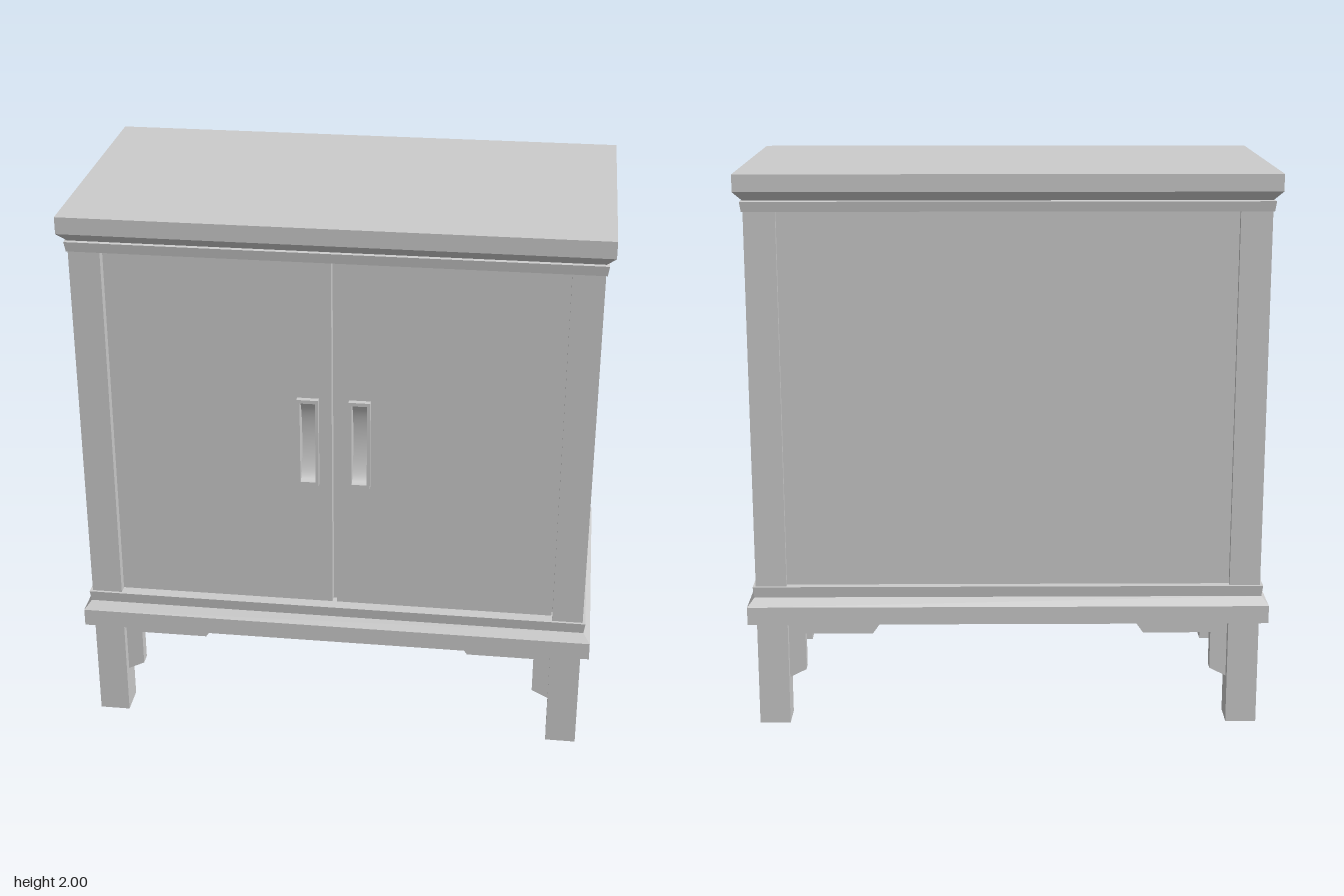
import * as THREE from 'three';

const mat = new THREE.MeshStandardMaterial({ color: 0xcccccc });
const W = 0.935, D = 0.51;          // half width and half depth of the slabs

function add(parent, name, geometry, x = 0, y = 0, z = 0) {
  const mesh = new THREE.Mesh(geometry, mat);
  mesh.name = name;
  mesh.position.set(x, y, z);
  parent.add(mesh);
  return mesh;
}

// box given by its limits
function block(parent, name, x0, x1, y0, y1, z0, z1) {
  return add(parent, name, new THREE.BoxGeometry(x1 - x0, y1 - y0, z1 - z0),
    (x0 + x1) / 2, (y0 + y1) / 2, (z0 + z1) / 2);
}

// rectangular moulding: profile of [inset, height] pairs, bottom to top
function moulding(profile) {
  const rings = profile.map(([inset, y]) =>
    [[1, 1], [1, -1], [-1, -1], [-1, 1]].map(([sx, sz]) => [sx * (W - inset), y, sz * (D - inset)]));
  const pos = [];
  const quad = (a, b, c, d) => pos.push(...a, ...b, ...c, ...a, ...c, ...d);
  for (let i = 0; i + 1 < rings.length; i++) {
    for (let k = 0; k < 4; k++) {
      const n = (k + 1) % 4;
      quad(rings[i][k], rings[i][n], rings[i + 1][n], rings[i + 1][k]);
    }
  }
  quad(...rings[rings.length - 1]);
  quad(...[...rings[0]].reverse());
  const g = new THREE.BufferGeometry();
  g.setAttribute('position', new THREE.Float32BufferAttribute(pos, 3));
  g.computeVertexNormals();
  return g;
}

// flat board with a rectangular hole, both as [x0, x1, y0, y1]
function pierced([x0, x1, y0, y1], [a0, a1, b0, b1], depth) {
  const shape = new THREE.Shape([[x0, y0], [x1, y0], [x1, y1], [x0, y1]].map(p => new THREE.Vector2(...p)));
  shape.holes.push(new THREE.Path([[a0, b0], [a0, b1], [a1, b1], [a1, b0]].map(p => new THREE.Vector2(...p))));
  return new THREE.ExtrudeGeometry(shape, { depth, bevelEnabled: false });
}

// stepped corner bracket, growing from the leg along +x
function bracketGeometry(length) {
  const pts = [[0, 0.165], [0.06, 0.195], [0.06, 0.333], [length - 0.04, 0.333], [length, 0.39], [0, 0.39]];
  const g = new THREE.ExtrudeGeometry(new THREE.Shape(pts.map(p => new THREE.Vector2(...p))),
    { depth: 0.045, bevelEnabled: false });
  return g.translate(0, 0, -0.0225);
}

export function createModel() {
  const model = new THREE.Group();
  model.name = 'cabinet';

  // base and top mouldings
  add(model, 'baseMoulding', moulding([[0, 0.39], [0, 0.455], [0.025, 0.485], [0.02, 0.525]]));
  add(model, 'topMoulding', moulding([[0.025, 1.87], [0.02, 1.905], [0.03, 1.908], [0, 1.94], [0, 2]]));

  // carcass with recessed side and back panels
  block(model, 'carcass', -0.885, 0.885, 0.525, 1.87, -0.46, 0.42);

  // corner posts, legs and brackets
  const frontBracket = bracketGeometry(0.345), sideBracket = bracketGeometry(0.245);
  for (const sx of [1, -1]) {
    for (const sz of [1, -1]) {
      const cx = sx * 0.85, cz = sz * 0.425;
      add(model, 'cornerPost', new THREE.BoxGeometry(0.11, 1.345, 0.11), cx, 1.1975, cz);
      add(model, 'leg', new THREE.BoxGeometry(0.11, 0.39, 0.11), cx, 0.195, cz);
      const along = add(model, 'widthBracket', frontBracket, sx * 0.795, 0, cz);
      along.rotation.y = sx > 0 ? Math.PI : 0;
      const across = add(model, 'depthBracket', sideBracket, cx, 0, sz * 0.37);
      across.rotation.y = sz * Math.PI / 2;
    }
  }

  // doors with recessed, scooped pulls
  for (const s of [1, -1]) {
    const door = new THREE.Group();
    door.name = s > 0 ? 'leftDoor' : 'rightDoor';
    model.add(door);
    const span = (a, b) => (s > 0 ? [a, b] : [-b, -a]);
    const hole = [...span(0.064, 0.118), 1.035, 1.343];
    add(door, 'doorPanel', pierced([...span(0.008, 0.791), 0.534, 1.861], hole, 0.04), 0, 0, 0.42);
    add(door, 'pullFrame', pierced([...span(0.053, 0.129), 1.022, 1.356], hole, 0.02), 0, 0, 0.46);

    // concave sheet inside the pull
    const scoop = new THREE.PlaneGeometry(0.054, 0.308, 1, 24);
    const p = scoop.attributes.position;
    for (let i = 0; i < p.count; i++) {
      const a = (p.getY(i) / 0.154) * Math.PI / 2;
      p.setY(i, 0.154 * Math.sin(a));
      p.setZ(i, -0.05 * Math.cos(a));
    }
    scoop.computeVertexNormals();
    add(door, 'pullScoop', scoop, s * 0.091, 1.189, 0.475);
  }
  return model;
}
